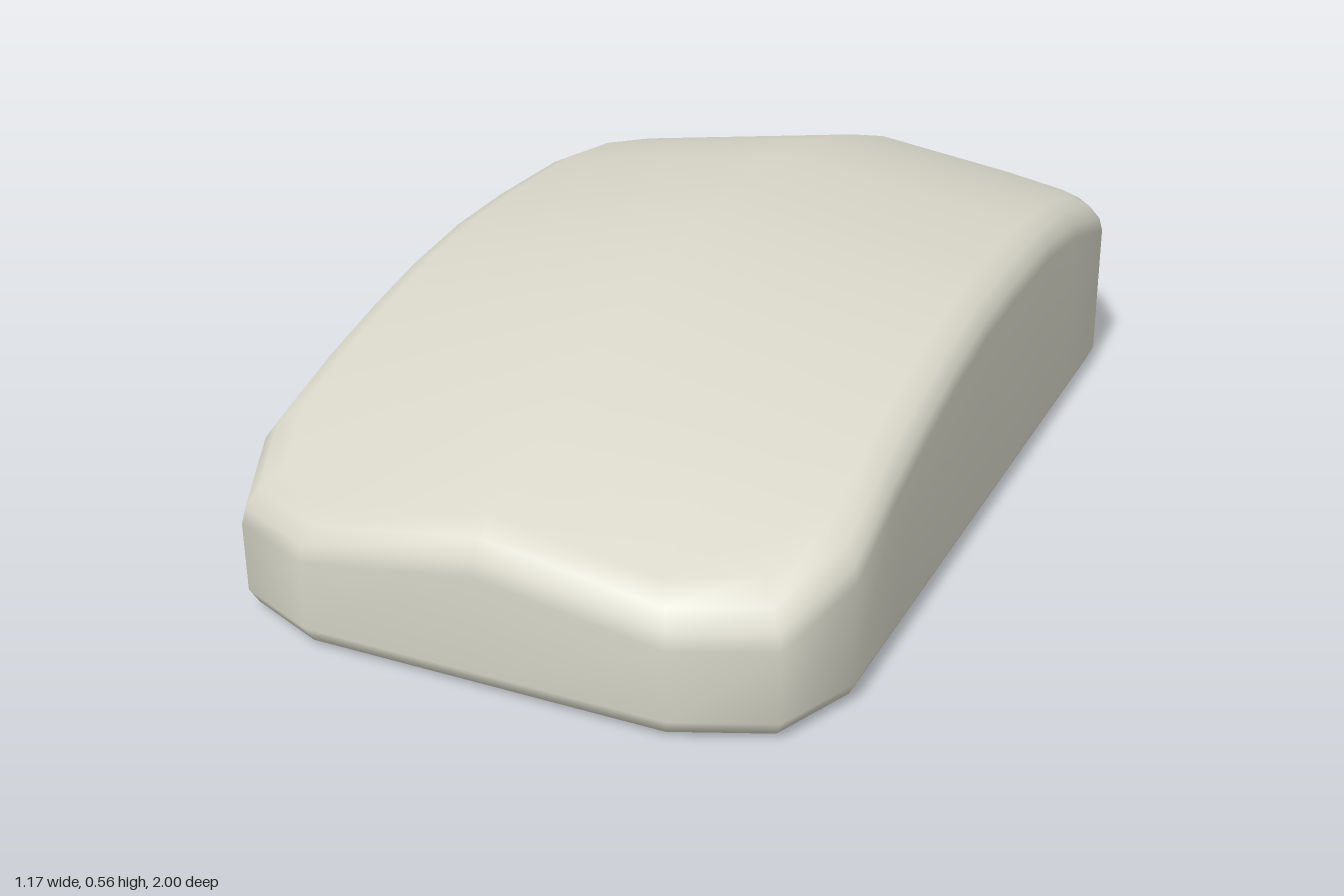
import * as THREE from 'three';
import { mergeVertices } from 'three/addons/utils/BufferGeometryUtils.js';

// Height of the centre ridge along z: [z, y], front to back
const RIDGE = [
  [0.935, 0.31], [0.7, 0.405], [0.54, 0.458], [0.4, 0.495], [0.26, 0.528], [0.1, 0.552],
  [-0.08, 0.562], [-0.33, 0.562], [-0.515, 0.54], [-0.73, 0.487], [-0.945, 0.42],
];
const HALF_W = 0.587;
const COLS = [-0.52, -0.35, 0, 0.35, 0.52];
const ROWS = [0.93, 0.77, 0.59, 0.43, 0.28, 0.1, -0.08, -0.33, -0.54, -0.77, -0.93];
const C = COLS.length - 1, R = ROWS.length - 1;

// Roof height: ridge profile falling away evenly to both sides
function roof(x, z) {
  let i = 0;
  while (i < RIDGE.length - 2 && z < RIDGE[i + 1][0]) i++;
  const [z0, y0] = RIDGE[i], [z1, y1] = RIDGE[i + 1];
  return y0 + (y1 - y0) * (z - z0) / (z1 - z0) - 0.15 * Math.abs(x);
}

// Plan position of a grid node; the rim nodes trace a rectangle with cut corners
function plan(r, c, inset) {
  const sideEdge = c === 0 || c === C, endEdge = r === 0 || r === R;
  let x = COLS[c], z = ROWS[r];
  if (sideEdge && !endEdge) x = Math.sign(x) * HALF_W;
  if (endEdge && !sideEdge) z = Math.sign(z);
  return [x * (HALF_W - inset) / HALF_W, z * (1 - inset)];
}

// Rings from the floor up: inset from the outline and height rule
const LEVELS = [
  { inset: 0.045, y: () => 0 },
  { inset: 0.013, y: () => 0.012 },
  { inset: 0, y: () => 0.04 },
  { inset: 0, y: (x, z) => roof(x, z) - 0.06 },
  { inset: 0.007, y: (x, z) => roof(x, z) - 0.033 },
  { inset: 0.027, y: (x, z) => roof(x, z) - 0.011 },
  { inset: 0.065, y: roof },
];

function bodyGeometry() {
  const positions = [];
  const point = (level, r, c) => {
    const [x, z] = plan(r, c, level.inset);
    return [x, level.y(x, z), z];
  };
  const quad = (a, b, c, d) => positions.push(...a, ...b, ...c, ...a, ...c, ...d);

  // Rim nodes, anticlockwise from the front left corner
  const rim = [];
  for (let c = 0; c < C; c++) rim.push([0, c]);
  for (let r = 0; r < R; r++) rim.push([r, C]);
  for (let c = C; c > 0; c--) rim.push([R, c]);
  for (let r = R; r > 0; r--) rim.push([r, 0]);

  // Rounded edges and walls
  for (let k = 0; k < LEVELS.length - 1; k++) {
    const low = LEVELS[k], high = LEVELS[k + 1];
    rim.forEach((p, i) => {
      const q = rim[(i + 1) % rim.length];
      quad(point(low, ...p), point(low, ...q), point(high, ...q), point(high, ...p));
    });
  }

  // Domed top and flat underside
  const bottom = LEVELS[0], top = LEVELS[LEVELS.length - 1];
  for (let r = 0; r < R; r++) {
    for (let c = 0; c < C; c++) {
      quad(point(top, r, c), point(top, r, c + 1), point(top, r + 1, c + 1), point(top, r + 1, c));
      quad(point(bottom, r, c), point(bottom, r + 1, c), point(bottom, r + 1, c + 1), point(bottom, r, c + 1));
    }
  }

  const soup = new THREE.BufferGeometry();
  soup.setAttribute('position', new THREE.Float32BufferAttribute(positions, 3));
  const geometry = mergeVertices(soup, 1e-4);
  geometry.computeVertexNormals();
  return geometry;
}

export function createModel() {
  const group = new THREE.Group();
  group.name = 'roundedShell';
  const ivory = new THREE.MeshStandardMaterial({ color: 0xd6d5c7 });
  ivory.name = 'ivory';
  const body = new THREE.Mesh(bodyGeometry(), ivory);
  body.name = 'body';
  group.add(body);
  return group;
}
